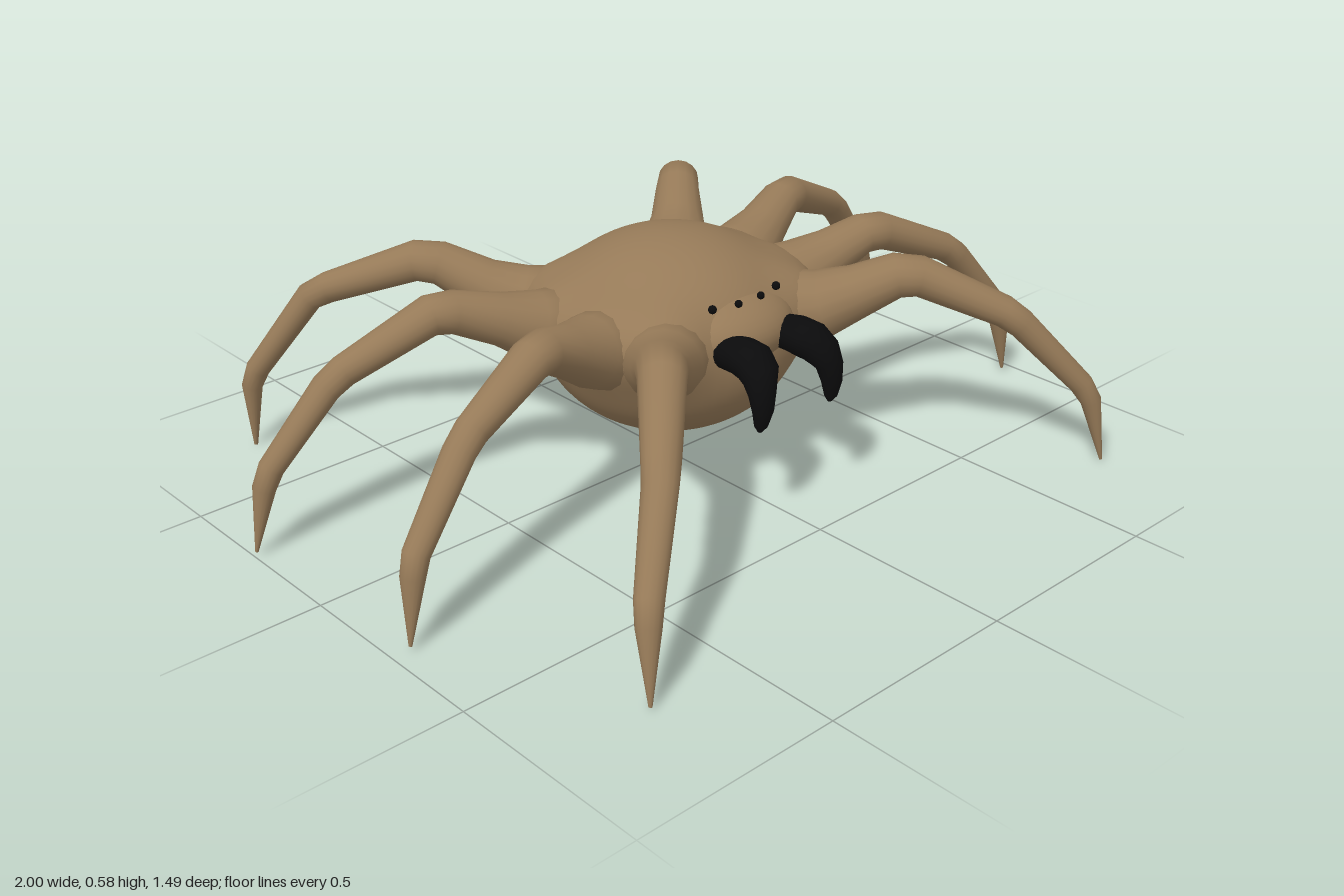
import * as THREE from 'three';
import { mergeVertices } from 'three/addons/utils/BufferGeometryUtils.js';

const brown = new THREE.MeshStandardMaterial({ color: 0x967a58 });
brown.name = 'brown skin';
const black = new THREE.MeshStandardMaterial({ color: 0x0b0b0c });
black.name = 'black fangs and eyes';

// Tapered limb through rows of [x, y, z, radius]; side is the horizontal axis of its rings
function limb(rows, side, squash, sides = 16) {
  const pts = rows.map(r => new THREE.Vector3(r[0], r[1], r[2]));
  const pos = [], index = [], n = pts.length;
  pts.forEach((p, i) => {
    const t = new THREE.Vector3();
    if (i > 0) t.add(p.clone().sub(pts[i - 1]).normalize());
    if (i < n - 1) t.add(pts[i + 1].clone().sub(p).normalize());
    t.normalize();
    const up = new THREE.Vector3().crossVectors(t, side).normalize();
    for (let j = 0; j < sides; j++) {
      const a = j / sides * Math.PI * 2;
      const v = p.clone()
        .addScaledVector(side, Math.cos(a) * rows[i][3])
        .addScaledVector(up, Math.sin(a) * rows[i][3] * squash);
      pos.push(v.x, v.y, v.z);
    }
  });
  for (let i = 0; i < n - 1; i++) {
    for (let j = 0; j < sides; j++) {
      const a = i * sides + j, b = i * sides + (j + 1) % sides;
      index.push(a, b, b + sides, a, b + sides, a + sides);
    }
  }
  // End caps
  [0, n - 1].forEach(e => {
    const c = pos.length / 3;
    pos.push(pts[e].x, pts[e].y, pts[e].z);
    for (let j = 0; j < sides; j++) {
      const a = e * sides + j, b = e * sides + (j + 1) % sides;
      if (e === 0) index.push(c, b, a); else index.push(c, a, b);
    }
  });
  const g = new THREE.BufferGeometry();
  g.setAttribute('position', new THREE.Float32BufferAttribute(pos, 3));
  g.setIndex(index);
  g.computeVertexNormals();
  return g;
}

// Left legs, root to tip: [x, y, z, radius]
const legs = {
  frontLeg: [
    [0.16, 0.39, 0.16, 0.11], [0.25, 0.41, 0.25, 0.088], [0.31, 0.445, 0.31, 0.068],
    [0.37, 0.487, 0.375, 0.057], [0.405, 0.487, 0.415, 0.052], [0.54, 0.405, 0.56, 0.041],
    [0.57, 0.375, 0.59, 0.038], [0.69, 0.215, 0.69, 0.031], [0.71, 0.17, 0.71, 0.027], [0.733, 0.015, 0.74, 0.004]],
  middleFrontLeg: [
    [0.23, 0.39, 0.07, 0.115], [0.34, 0.42, 0.095, 0.088], [0.42, 0.455, 0.12, 0.065],
    [0.5, 0.49, 0.147, 0.053], [0.55, 0.49, 0.165, 0.05], [0.74, 0.41, 0.21, 0.039],
    [0.78, 0.38, 0.22, 0.037], [0.92, 0.215, 0.253, 0.031], [0.935, 0.17, 0.258, 0.028], [0.957, 0.02, 0.266, 0.004]],
  middleBackLeg: [
    [0.23, 0.39, -0.07, 0.115], [0.34, 0.42, -0.095, 0.088], [0.42, 0.455, -0.115, 0.065],
    [0.52, 0.49, -0.15, 0.053], [0.57, 0.492, -0.163, 0.05], [0.77, 0.405, -0.21, 0.039],
    [0.81, 0.375, -0.22, 0.037], [0.945, 0.215, -0.25, 0.031], [0.965, 0.17, -0.254, 0.028], [0.995, 0.02, -0.261, 0.004]],
  backLeg: [
    [0.16, 0.39, -0.16, 0.11], [0.25, 0.41, -0.25, 0.088], [0.31, 0.445, -0.31, 0.068],
    [0.38, 0.497, -0.385, 0.055], [0.42, 0.502, -0.425, 0.052], [0.57, 0.43, -0.575, 0.04],
    [0.6, 0.405, -0.61, 0.037], [0.705, 0.215, -0.705, 0.031], [0.718, 0.17, -0.717, 0.027], [0.722, 0.008, -0.722, 0.005]],
};

// Round body that swells outwards where the legs leave it
function bodyGeometry() {
  const roots = [];
  for (const deg of [45, 16, -16, -45]) {
    for (const s of [1, -1]) {
      const a = THREE.MathUtils.degToRad(deg);
      roots.push(new THREE.Vector3(s * Math.cos(a), 0.24, Math.sin(a)).normalize());
    }
  }
  let g = new THREE.SphereGeometry(1, 64, 40);
  g.deleteAttribute('uv');
  g.deleteAttribute('normal');
  g = mergeVertices(g, 1e-4);
  const p = g.attributes.position, v = new THREE.Vector3();
  const radii = new THREE.Vector3(0.308, 0.237, 0.302);
  for (let i = 0; i < p.count; i++) {
    v.fromBufferAttribute(p, i).multiply(radii);
    const d = v.clone().normalize();
    const swell = roots.reduce((sum, r) => sum + 0.06 * Math.exp(24 * (d.dot(r) - 1)), 0);
    v.addScaledVector(d, swell);
    p.setXYZ(i, v.x, v.y + 0.352, v.z);
  }
  g.computeVertexNormals();
  return g;
}

export function createModel() {
  const model = new THREE.Group();
  const add = (name, geometry, material, x = 0, y = 0, z = 0) => {
    const m = new THREE.Mesh(geometry, material);
    m.name = name;
    m.position.set(x, y, z);
    model.add(m);
    return m;
  };

  add('body', bodyGeometry(), brown);
  add('head', new THREE.SphereGeometry(1, 32, 20), brown, 0, 0.415, 0.19).scale.set(0.17, 0.088, 0.135);

  for (const s of [1, -1]) {
    const label = s > 0 ? 'left' : 'right';
    // Legs
    for (const [name, rows] of Object.entries(legs)) {
      const path = rows.map(([x, y, z, r]) => [x * s, y, z, r]);
      const tip = path[path.length - 1];
      const side = new THREE.Vector3(tip[2], 0, -tip[0]).normalize();
      add(`${label} ${name}`, limb(path, side, 0.92), brown);
    }
    // Curved fang
    const fang = [
      [0.085, 0.4, 0.25, 0.042], [0.086, 0.41, 0.33, 0.05], [0.088, 0.407, 0.365, 0.052],
      [0.095, 0.389, 0.395, 0.047], [0.107, 0.355, 0.412, 0.034], [0.11, 0.315, 0.418, 0.026],
      [0.112, 0.28, 0.415, 0.017], [0.112, 0.264, 0.412, 0.006]];
    add(`${label} fang`, limb(fang.map(([x, y, z, r]) => [x * s, y, z, r]), new THREE.Vector3(1, 0, 0), 0.85), black);
    // Eyes
    add(`${label} inner eye`, new THREE.SphereGeometry(0.009, 12, 8), black, 0.035 * s, 0.498, 0.262);
    add(`${label} outer eye`, new THREE.SphereGeometry(0.01, 12, 8), black, 0.1 * s, 0.498, 0.246);
  }
  return model;
}
